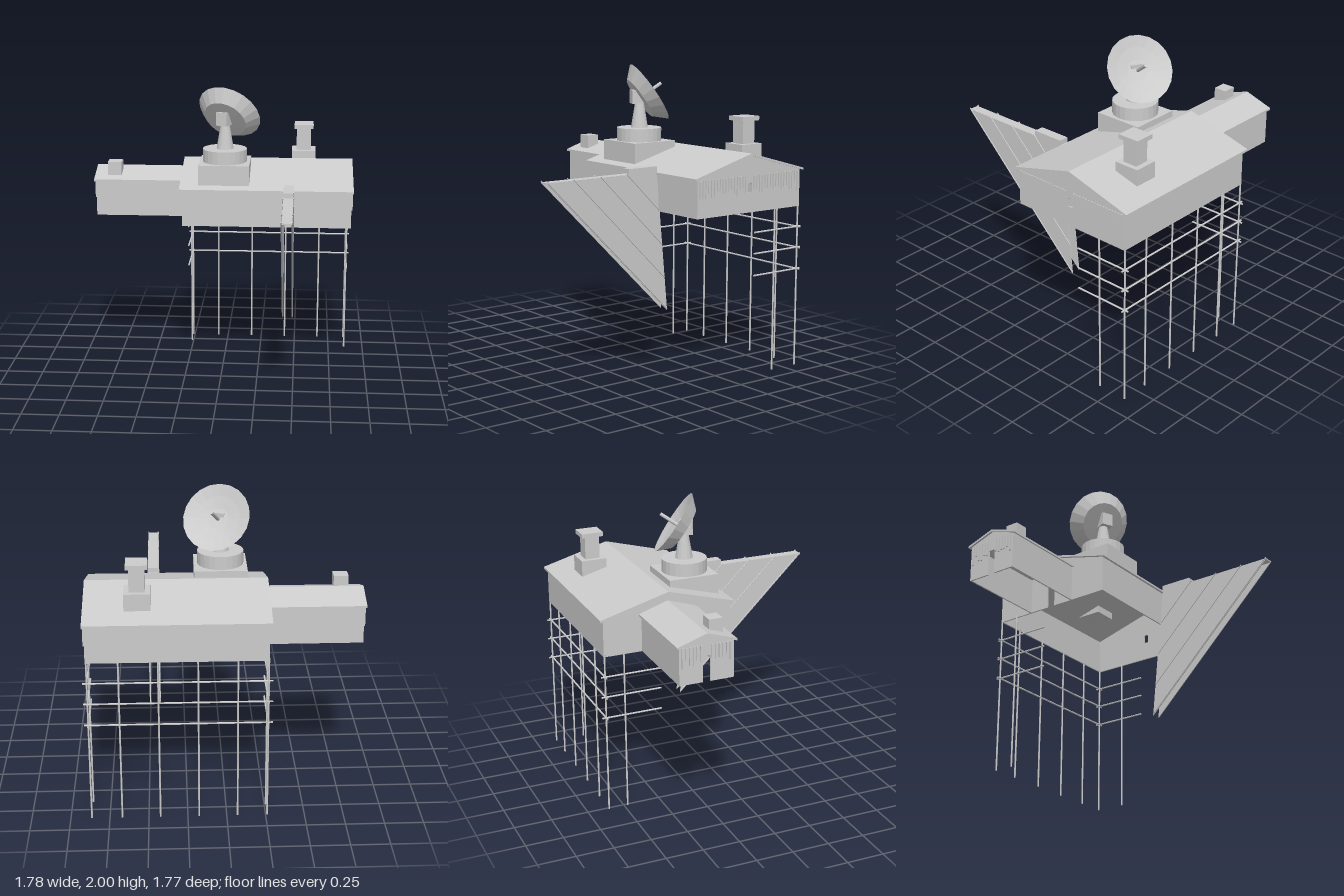
import * as THREE from 'three';

const mat = new THREE.MeshStandardMaterial({ color: 0xcccccc, flatShading: true, side: THREE.DoubleSide });
const RIDGE_Z = -0.42;

function add(parent, name, geometry, x = 0, y = 0, z = 0) {
  const mesh = new THREE.Mesh(geometry, mat);
  mesh.name = name;
  mesh.position.set(x, y, z);
  parent.add(mesh);
  return mesh;
}

// Box given by its lower and upper limits on each axis
function box(parent, name, [x0, x1], [y0, y1], [z0, z1]) {
  return add(parent, name, new THREE.BoxGeometry(x1 - x0, y1 - y0, z1 - z0),
    (x0 + x1) / 2, (y0 + y1) / 2, (z0 + z1) / 2);
}

// Round bar between two points
function bar(parent, name, a, b, r = 0.006) {
  const p = new THREE.Vector3(...a), q = new THREE.Vector3(...b);
  const dir = q.clone().sub(p);
  const mesh = add(parent, name, new THREE.CylinderGeometry(r, r, dir.length(), 8));
  mesh.position.copy(p).add(q).multiplyScalar(0.5);
  mesh.quaternion.setFromUnitVectors(new THREE.Vector3(0, 1, 0), dir.normalize());
  return mesh;
}

// Outline in (z, y), extruded from x0 to x1
function slab(parent, name, shape, x0, x1, z = 0) {
  const g = new THREE.ExtrudeGeometry(shape, { depth: x1 - x0, bevelEnabled: false, curveSegments: 6 });
  g.rotateY(-Math.PI / 2);
  return add(parent, name, g, x1, 0, z);
}

const outline = pts => new THREE.Shape(pts.map(p => new THREE.Vector2(...p)));

// Gable wall outline, with an optional doorway cut up from the floor
function gable(half, eave, ridge, door) {
  const y0 = 1.083;
  const pts = [[half, y0], [half, eave], [0, ridge], [-half, eave], [-half, y0]];
  if (door) pts.push([-door, y0], [-door, 1.255], [door, 1.255], [door, y0]);
  return outline(pts);
}

// Shed with open underside: side walls and a thin pitched roof
function shed(name, [x0, x1], half, [r0, r1], roofHalf, eave, ridge) {
  const g = new THREE.Group();
  g.name = name;
  const t = 0.014;
  const wallTop = ridge - t - (ridge - eave) * half / roofHalf;
  for (const s of [-1, 1]) {
    const z = RIDGE_Z + s * half;
    box(g, 'sideWall', [x0, x1], [1.083, wallTop], [Math.min(z, z - s * 0.01), Math.max(z, z - s * 0.01)]);
  }
  slab(g, 'roof', outline([[roofHalf, eave], [0, ridge], [-roofHalf, eave],
    [-roofHalf, eave - t], [0, ridge - t], [roofHalf, eave - t]]), r0, r1, RIDGE_Z);
  return { g, wallTop, peak: ridge - t };
}

// Ragged upright boards hanging on a gable end
function boards(parent, x, half, count, top, gap) {
  let seed = 7;
  const rand = () => (seed = (seed * 16807) % 2147483647) / 2147483647;
  for (let i = 0; i < count; i++) {
    const z = -half + (i + 0.5) * 2 * half / count;
    const low = 1.19 + 0.06 * rand();
    if (Math.abs(z) < gap) continue;
    box(parent, 'gableBoard', [x - 0.005, x + 0.005], [low, top], [RIDGE_Z + z - 0.006, RIDGE_Z + z + 0.006]);
  }
}

export function createModel() {
  const model = new THREE.Group();

  // Main hall
  const hall = shed('mainHall', [-0.262, 0.872], 0.44, [-0.28, 0.885], 0.4625, 1.338, 1.465);
  const windowWall = gable(0.44, hall.wallTop, hall.peak);
  const win = new THREE.Path();
  win.moveTo(-0.018, 1.215);
  win.lineTo(0.018, 1.215);
  win.lineTo(0.018, 1.26);
  win.absarc(0, 1.26, 0.018, 0, Math.PI, false);
  win.lineTo(-0.018, 1.215);
  windowWall.holes.push(win);
  slab(hall.g, 'windowWall', windowWall, 0.862, 0.872, RIDGE_Z);
  slab(hall.g, 'innerWall', gable(0.44, hall.wallTop, hall.peak, 0.03), -0.262, -0.252, RIDGE_Z);
  boards(hall.g, 0.876, 0.43, 36, 1.322, 0.03);
  model.add(hall.g);

  // Side wing
  const wing = shed('sideWing', [-0.876, -0.262], 0.18, [-0.89, -0.262], 0.197, 1.338, 1.402);
  slab(wing.g, 'doorWall', gable(0.18, wing.wallTop, wing.peak, 0.025), -0.876, -0.866, RIDGE_Z);
  boards(wing.g, -0.881, 0.17, 14, 1.325, 0.03);
  box(wing.g, 'roofVent', [-0.8, -0.705], [1.355, 1.45], [-0.37, -0.28]);
  model.add(wing.g);

  // Chimney
  const chimney = new THREE.Group();
  chimney.name = 'chimney';
  box(chimney, 'chimneyBase', [0.465, 0.63], [1.36, 1.485], [-0.742, -0.567]);
  box(chimney, 'chimneyShaft', [0.497, 0.597], [1.485, 1.638], [-0.705, -0.604]);
  box(chimney, 'chimneyCap', [0.481, 0.615], [1.638, 1.667], [-0.73, -0.58]);
  model.add(chimney);

  // Stilts and rails
  const stilts = new THREE.Group();
  stilts.name = 'stilts';
  for (const x of [-0.26, -0.07, 0.177, 0.425, 0.67, 0.865])
    bar(stilts, 'backPost', [x, 0, -0.855], [x, 1.1, -0.855]);
  bar(stilts, 'sidePost', [0.865, 0, -0.648], [0.865, 1.1, -0.648]);
  bar(stilts, 'sidePost', [-0.26, 0, -0.724], [-0.26, 1.1, -0.724]);
  for (const y of [0.66, 0.805, 0.945]) {
    bar(stilts, 'backRail', [-0.288, y, -0.855], [0.892, y, -0.855]);
    for (const x of [-0.26, 0.865]) bar(stilts, 'sideRail', [x, y, -0.882], [x, y, -0.472]);
  }
  model.add(stilts);

  // Projecting gangway: two triangular cheeks under a narrow deck
  const gangway = new THREE.Group();
  gangway.name = 'gangway';
  const cheek = outline([[0.885, 1.338], [0.26, 1.338], [0.26, 1.37], [0.04, 1.37], [-0.055, 0.42]]);
  for (const x of [0.424, 0.486]) {
    slab(gangway, 'cheek', cheek, x - 0.003, x + 0.003);
    for (const z of [0.27, 0.475, 0.68, 0.875]) {
      const t = (z - 0.037) / 0.8485;
      const xo = x + Math.sign(x - 0.455) * 0.003;
      bar(gangway, 'cheekBatten', [xo, 1.348, z + 0.008], [xo, 1.34 - 0.92 * t, z - 0.94 * t], 0.004);
    }
  }
  box(gangway, 'deck', [0.422, 0.488], [1.333, 1.341], [0.03, 0.885]);
  box(gangway, 'deckHead', [0.421, 0.489], [1.345, 1.377], [0.035, 0.262]);
  model.add(gangway);

  // Dish mount
  const dish = new THREE.Group();
  dish.name = 'dishAntenna';
  box(dish, 'mountBlock', [-0.155, 0.187], [1.355, 1.49], [-0.36, -0.018]);
  add(dish, 'turntable', new THREE.CylinderGeometry(0.15, 0.15, 0.087, 24), 0.015, 1.533, -0.188);
  add(dish, 'pedestal', new THREE.CylinderGeometry(0.028, 0.058, 0.18, 16), 0.017, 1.665, -0.188);
  add(dish, 'pivotHead', new THREE.BoxGeometry(0.078, 0.09, 0.085), 0.012, 1.783, -0.172).rotation.y = -0.416;

  // Tilted reflector: flat back, flared side, shallow hollow face
  const aim = new THREE.Group();
  aim.name = 'reflector';
  const profile = [[0, -0.08], [0.15, -0.078], [0.223, 0], [0.15, -0.022], [0.07, -0.038], [0, -0.042]];
  add(aim, 'bowl', new THREE.LatheGeometry(profile.map(p => new THREE.Vector2(...p)), 20));
  add(aim, 'feedRod', new THREE.CylinderGeometry(0.012, 0.012, 0.14, 8), 0, 0.03, 0);
  aim.position.set(0.043, 1.815, -0.25);
  aim.quaternion.setFromUnitVectors(new THREE.Vector3(0, 1, 0), new THREE.Vector3(0.336, 0.56, -0.76).normalize());
  dish.add(aim);
  model.add(dish);

  return model;
}
